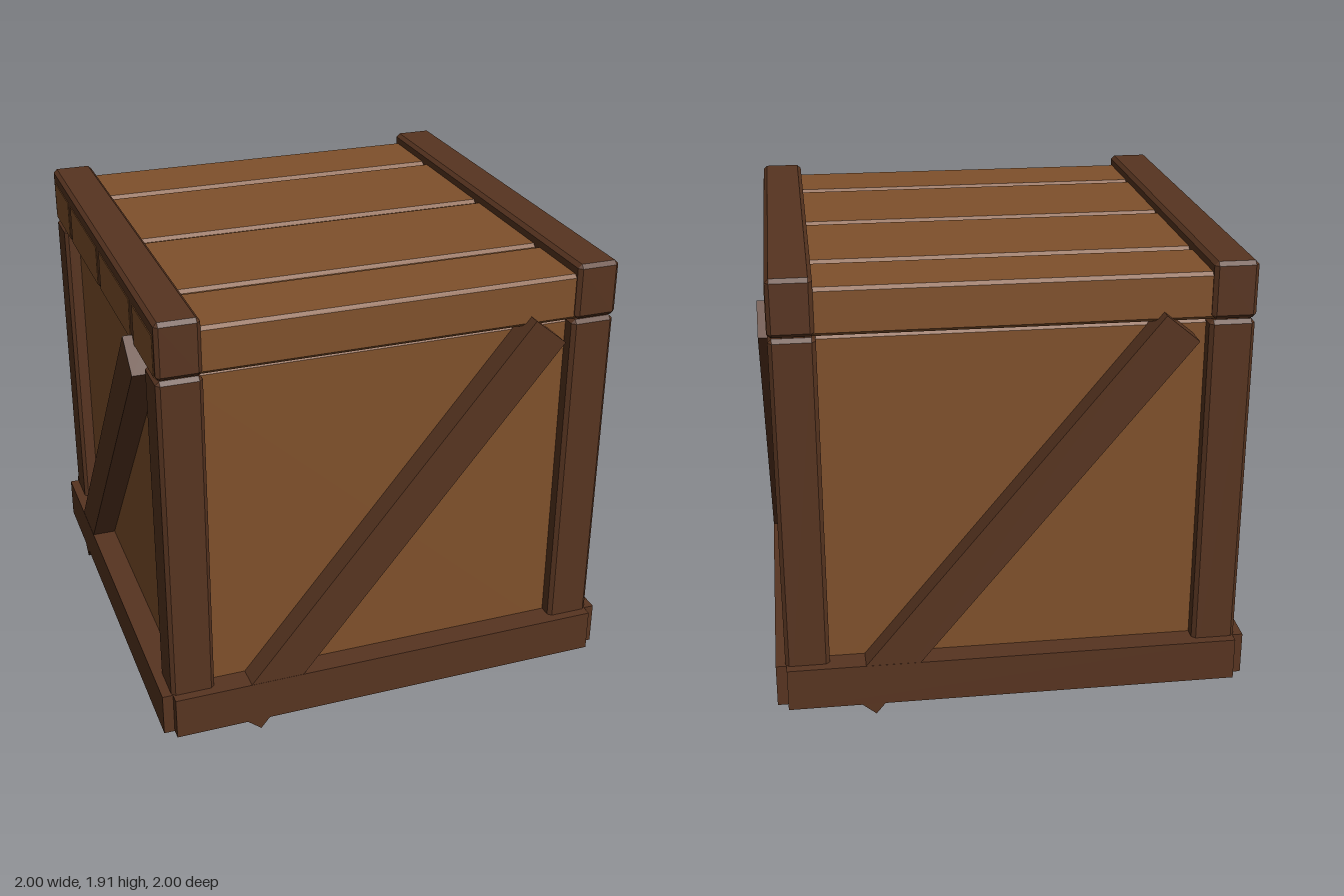
import * as THREE from 'three';
import { ConvexGeometry } from 'three/addons/geometries/ConvexGeometry.js';

const panelWood = new THREE.MeshStandardMaterial({ color: 0x7f502b, flatShading: true });
const beamWood = new THREE.MeshStandardMaterial({ color: 0x573420, flatShading: true });

// Box with all edges cut at 45 degrees by c
function chamferBox(w, h, d, c) {
  const half = [w / 2, h / 2, d / 2];
  const points = [];
  for (const sx of [-1, 1]) for (const sy of [-1, 1]) for (const sz of [-1, 1]) {
    for (let axis = 0; axis < 3; axis++) {
      const p = half.map((v, i) => (i === axis ? v : v - c));
      points.push(new THREE.Vector3(sx * p[0], sy * p[1], sz * p[2]));
    }
  }
  return new ConvexGeometry(points);
}

function add(parent, name, geometry, material, x, y, z) {
  const mesh = new THREE.Mesh(geometry, material);
  mesh.name = name;
  mesh.position.set(x, y, z);
  parent.add(mesh);
  return mesh;
}

export function createModel() {
  const crate = new THREE.Group();
  crate.name = 'crate';

  // Body of panels
  add(crate, 'body', chamferBox(1.79, 1.62, 1.79, 0.03), panelWood, 0, 0.865, 0);

  // Four sides, each with a base board, a diagonal brace and a corner post
  const boardGeo = new THREE.BoxGeometry(1.91, 0.185, 0.11);
  const braceGeo = new THREE.BoxGeometry(2.071, 0.177, 0.109);
  const postGeo = chamferBox(0.185, 1.615, 0.185, 0.016);
  for (let i = 0; i < 4; i++) {
    const side = new THREE.Group();
    side.name = 'side' + (i + 1);
    side.rotation.y = i * Math.PI / 2;
    add(side, 'baseBoard', boardGeo, beamWood, 0, 0.1425, 0.945);
    add(side, 'brace', braceGeo, beamWood, 0, 0.8575, 0.9445).rotation.z = Math.atan2(1.6, 1.315);
    add(side, 'cornerPost', postGeo, beamWood, 0.8675, 0.8625, 0.8675);
    crate.add(side);
  }

  // Lid: four planks with gaps over a dark core
  const lid = new THREE.Group();
  lid.name = 'lid';
  add(lid, 'lidCore', new THREE.BoxGeometry(1.88, 0.15, 1.86), beamWood, 0, 1.768, 0);
  const edges = [-0.95, -0.595, 0, 0.595, 0.95];
  const gap = 0.013;
  for (let i = 0; i < 4; i++) {
    const z0 = edges[i] + (i > 0 ? gap : 0);
    const z1 = edges[i + 1] - (i < 3 ? gap : 0);
    add(lid, 'lidPlank', chamferBox(1.925, 0.195, z1 - z0, 0.014), panelWood, 0, 1.77, (z0 + z1) / 2);
  }

  // Beams along both lid edges
  const lidBeamGeo = chamferBox(0.18, 0.235, 1.94, 0.016);
  for (const s of [-1, 1]) add(lid, 'lidBeam', lidBeamGeo, beamWood, s * 0.87, 1.795, 0);
  crate.add(lid);

  return crate;
}
